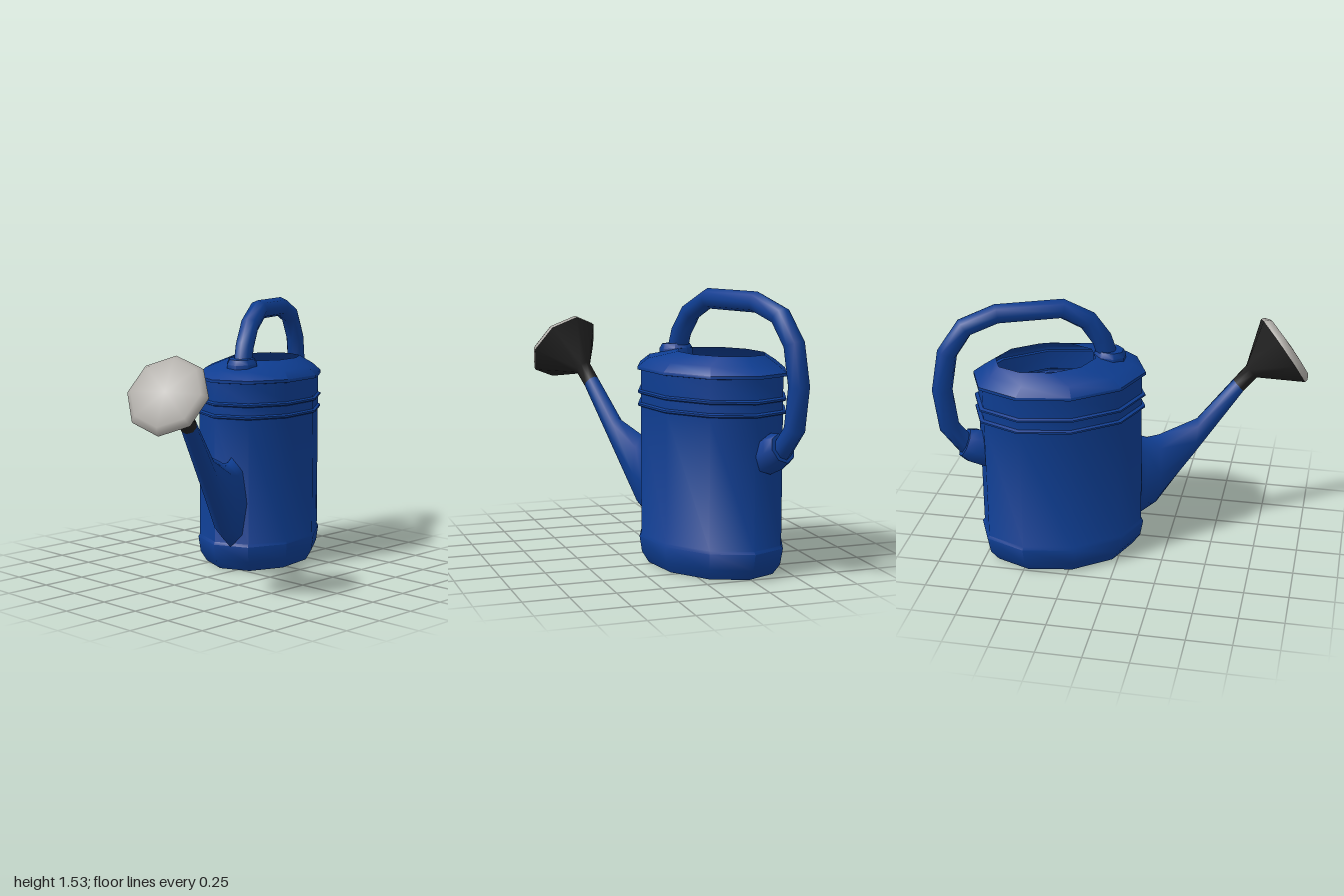
import * as THREE from 'three';
import { toCreasedNormals } from 'three/addons/utils/BufferGeometryUtils.js';

const paint = (name, color) =>
  new THREE.MeshStandardMaterial({ name, color, side: THREE.DoubleSide });

// Revolved part; profile is [radius, height] from bottom to top
function lathe(profile, sides, crease = 0.87) {
  const g = new THREE.LatheGeometry(profile.map(([r, y]) => new THREE.Vector2(r, y)), sides);
  return toCreasedNormals(g, crease);
}

// Skin over oval sections, each [upper x, upper y, lower x, lower y, half width]
function loft(sections, sides = 8) {
  const pos = [], index = [];
  sections.forEach(([ux, uy, lx, ly, w], i) => {
    for (let j = 0; j < sides; j++) {
      const a = (j / sides) * Math.PI * 2, c = Math.cos(a) / 2;
      pos.push((ux + lx) / 2 + (ux - lx) * c, (uy + ly) / 2 + (uy - ly) * c, w * Math.sin(a));
      if (i === 0) continue;
      const k = (j + 1) % sides, p = (i - 1) * sides, q = i * sides;
      index.push(p + j, q + j, p + k, p + k, q + j, q + k);
    }
  });
  const g = new THREE.BufferGeometry();
  g.setAttribute('position', new THREE.Float32BufferAttribute(pos, 3));
  g.setIndex(index);
  g.computeVertexNormals();
  return g;
}

export function createModel() {
  const blue = paint('blueEnamel', 0x0e3d91);
  const black = paint('blackPlastic', 0x202020);
  const grey = paint('paleGrey', 0xb0ada8);

  const model = new THREE.Group();
  model.name = 'wateringCan';
  const can = new THREE.Group();
  can.name = 'canAssembly';
  can.position.set(0.345, 0, -0.17);
  can.rotation.y = 0.403;
  model.add(can);

  const add = (name, geometry, material) => {
    const m = new THREE.Mesh(geometry, material);
    m.name = name;
    can.add(m);
    return m;
  };

  // Oval hollow body with foot, two ribs and a sloping shoulder
  const wall = 0.464;
  const rib = (y) => [[wall, y - 0.012], [0.484, y - 0.005], [0.484, y + 0.005], [wall, y + 0.012]];
  const bodyGeo = new THREE.LatheGeometry([
    [0, 0], [0.412, 0], [0.459, 0.06], [0.476, 0.15], [wall, 0.165],
    ...rib(0.89), ...rib(0.96),
    [wall, 1.08], [0.486, 1.083], [0.486, 1.1], [0.42, 1.145], [0.28, 1.19],
  ].map(([r, y]) => new THREE.Vector2(r, y)), 10);
  bodyGeo.scale(1, 1, 0.717);
  // Filling hole sits towards the handle side
  const p = bodyGeo.attributes.position;
  for (let i = 0; i < p.count; i++) if (p.getY(i) > 1.18) p.setX(i, p.getX(i) + 0.075);
  add('body', toCreasedNormals(bodyGeo, 0.87), blue);

  // Spout, flaring where it joins the body
  const tip = [-1.0, 0.95, -1.06, 0.88, 0.046];
  add('spout', loft([
    [-0.42, 0.67, -0.42, 0.14, 0.1],
    [-0.495, 0.64, -0.46, 0.15, 0.085],
    [-0.57, 0.65, -0.555, 0.21, 0.078],
    [-0.793, 0.73, -0.755, 0.48, 0.056],
    tip,
  ]), blue);

  // Sprinkler neck and cone
  add('roseCone', loft([
    tip,
    [-1.075, 1.03, -1.135, 0.957, 0.047],
    [-1.164, 1.294, -1.407, 0.916, 0.225],
  ]), black);

  // Sprinkler face, slightly domed
  const face = add('roseFace',
    lathe([[0.225, 0], [0.222, 0.02], [0.195, 0.042], [0, 0.052]], 8, 1.0), grey);
  face.position.set(-1.285, 1.105, 0);
  face.rotation.z = 1.0;

  // Arched handle from the back of the body to the shoulder
  const path = [
    [0.43, 0.66], [0.527, 0.7], [0.62, 0.83], [0.647, 1.055], [0.609, 1.27],
    [0.51, 1.41], [0.337, 1.472], [-0.022, 1.472], [-0.163, 1.39],
    [-0.24, 1.275], [-0.275, 1.16],
  ].map(([x, y]) => new THREE.Vector2(x, y));
  const r = 0.056;
  add('handle', loft(path.map((c, i) => {
    const t = path[Math.min(i + 1, path.length - 1)].clone()
      .sub(path[Math.max(i - 1, 0)]).normalize();
    const nx = t.y * r, ny = -t.x * r;
    return [c.x + nx, c.y + ny, c.x - nx, c.y - ny, r];
  })), blue);

  // Collars at both handle ends
  const collar = (name, height, radius, x, y, tilt) => {
    const m = add(name, lathe([
      [radius, 0], [radius, height * 0.65], [radius * 0.82, height], [0, height],
    ], 8), blue);
    m.position.set(x, y, 0);
    m.rotation.z = tilt;
  };
  collar('upperHandleCollar', 0.08, 0.092, -0.28, 1.13, 0.08);
  collar('lowerHandleCollar', 0.145, 0.1, 0.41, 0.66, -1.13);

  return model;
}
